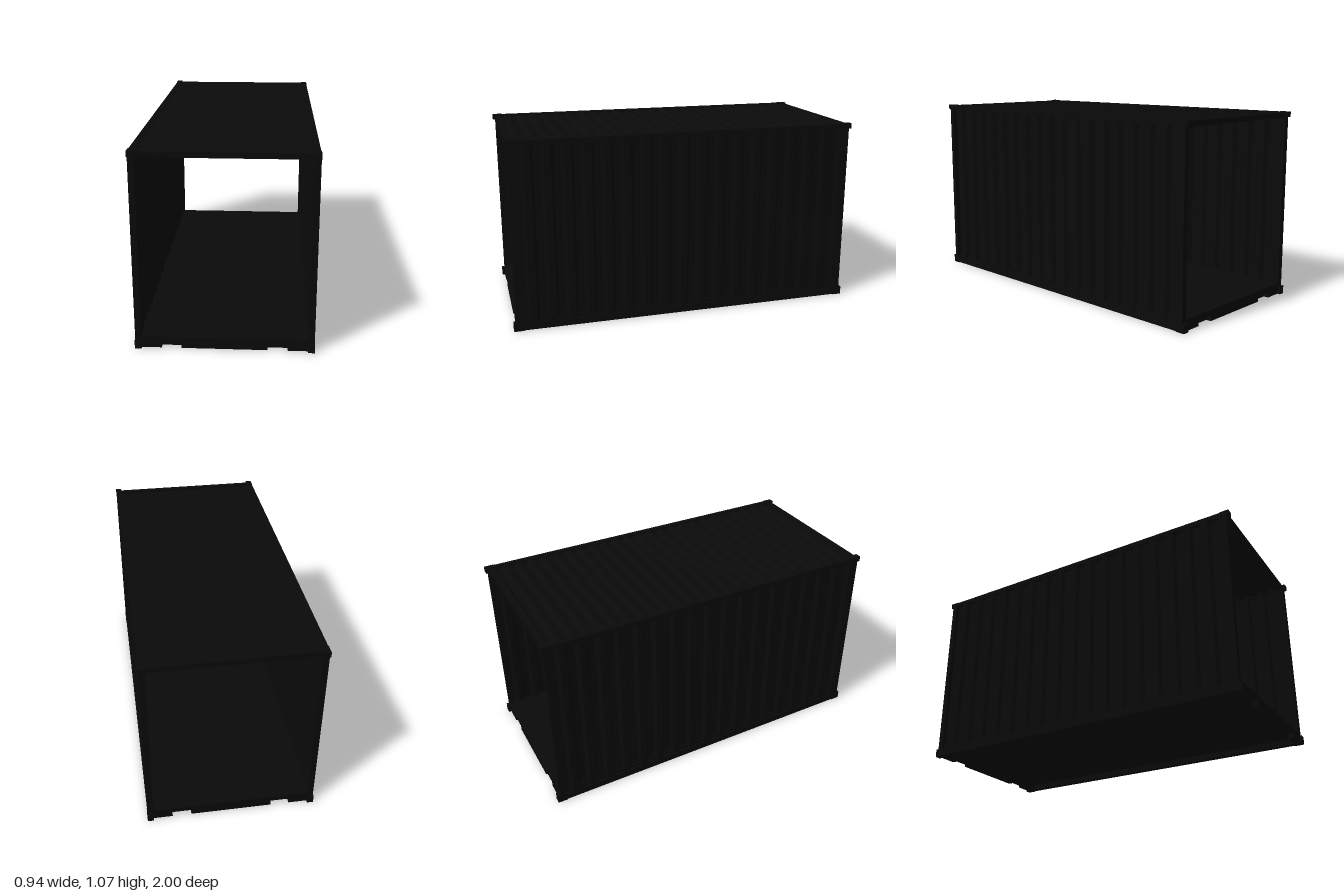
import * as THREE from 'three';

const W = 0.47, H = 1.07, L = 1;

export function createModel() {
  const group = new THREE.Group();
  const paint = new THREE.MeshStandardMaterial({ color: 0x0a0a0a, flatShading: true });

  const add = (name, geo) => {
    const mesh = new THREE.Mesh(geo, paint);
    mesh.name = name;
    group.add(mesh);
    return mesh;
  };
  // Box given by its minimum and maximum corners
  const box = (name, x0, x1, y0, y1, z0, z1) => {
    const mesh = add(name, new THREE.BoxGeometry(x1 - x0, y1 - y0, z1 - z0));
    mesh.position.set((x0 + x1) / 2, (y0 + y1) / 2, (z0 + z1) / 2);
    return mesh;
  };

  // Thin trapezoid-ribbed sheet: ribs step along u, depth is v, extruded along w
  const corrugated = (length, count, depth, thick, width, flat) => {
    const pitch = length / count, pts = [];
    for (let i = 0; i < count; i++) {
      const u = -length / 2 + i * pitch;
      const ramp = (1 - 2 * flat) / 2 * pitch;
      pts.push([u, 0], [u + flat * pitch, 0],
        [u + flat * pitch + ramp, -depth], [u + 2 * flat * pitch + ramp, -depth]);
    }
    pts.push([length / 2, 0]);
    const outline = [...pts, ...pts.map(([u, v]) => [u, v - thick]).reverse()];
    const shape = new THREE.Shape(outline.map(([u, v]) => new THREE.Vector2(u, v)));
    return new THREE.ExtrudeGeometry(shape, { depth: width, bevelEnabled: false })
      .translate(0, 0, -width / 2);
  };

  // Side walls
  const uAxis = new THREE.Vector3(0, 0, 1);
  const wallBasis = new THREE.Matrix4().makeBasis(
    uAxis, new THREE.Vector3(1, 0, 0), new THREE.Vector3(0, 1, 0));
  const wallGeo = corrugated(1.95, 18, 0.02, 0.004, 1.01, 0.35)
    .applyMatrix4(wallBasis).translate(W - 0.006, 0.54, 0);
  add('leftWall', wallGeo);
  add('rightWall', wallGeo).rotation.y = Math.PI;

  // Roof with cross ribs
  const roofBasis = new THREE.Matrix4().makeBasis(
    uAxis, new THREE.Vector3(0, 1, 0), new THREE.Vector3(-1, 0, 0));
  add('roof', corrugated(1.95, 25, 0.01, 0.004, 0.88, 0.35)
    .applyMatrix4(roofBasis).translate(0, H - 0.006, 0));
  for (const s of [-1, 1]) {
    box('roofEdge', s * 0.444 - 0.01, s * 0.444 + 0.01, 1.052, 1.065, -0.98, 0.98);
  }

  // Floor deck
  box('floor', -0.455, 0.455, 0.04, 0.062, -0.98, 0.98);

  // Long rails on both sides
  for (const s of [-1, 1]) {
    const rail = (name, w, y0, y1) => {
      const a = s * (W - 0.002), b = s * (W - w);
      box(name, Math.min(a, b), Math.max(a, b), y0, y1, -0.98, 0.98);
    };
    rail('bottomRail', 0.018, 0.002, 0.042);
    rail('bottomRailFlange', 0.036, 0.002, 0.008);
    rail('topRail', 0.03, 1.04, H - 0.002);
  }

  // End sill with two lifting notches cut from its lower edge
  const sill = new THREE.Shape();
  sill.moveTo(-0.436, 0.002);
  for (const [a, b] of [[-0.33, -0.225], [0.225, 0.33]]) {
    sill.lineTo(a, 0.002);
    sill.lineTo(a, 0.034);
    sill.lineTo(b, 0.034);
    sill.lineTo(b, 0.002);
  }
  sill.lineTo(0.436, 0.002);
  sill.lineTo(0.436, 0.064);
  sill.lineTo(-0.436, 0.064);
  const sillGeo = new THREE.ExtrudeGeometry(sill, { depth: 0.03, bevelEnabled: false })
    .translate(0, 0, 0.955);

  // Open end frames, front and back
  for (const e of [1, -1]) {
    const span = (a, b) => [Math.min(e * a, e * b), Math.max(e * a, e * b)];
    add('endSill', sillGeo).rotation.y = e > 0 ? 0 : Math.PI;
    box('sillBacking', -0.436, 0.436, 0.002, 0.05, ...span(0.95, 0.956));
    box('endHeader', -0.44, 0.44, 1.036, H - 0.004, ...span(0.955, 0.985));
    for (const s of [1, -1]) {
      const x = [Math.min(s * 0.435, s * W), Math.max(s * 0.435, s * W)];
      const post = [Math.min(s * 0.436, s * (W - 0.001)), Math.max(s * 0.436, s * (W - 0.001))];
      box('cornerPost', ...post, 0.04, 1.045, ...span(0.955, 0.985));
      box('bottomCornerBlock', ...x, 0, 0.047, ...span(0.945, L));
      box('topCornerBlock', ...x, 1.04, H, ...span(0.945, L));
    }
  }
  return group;
}
